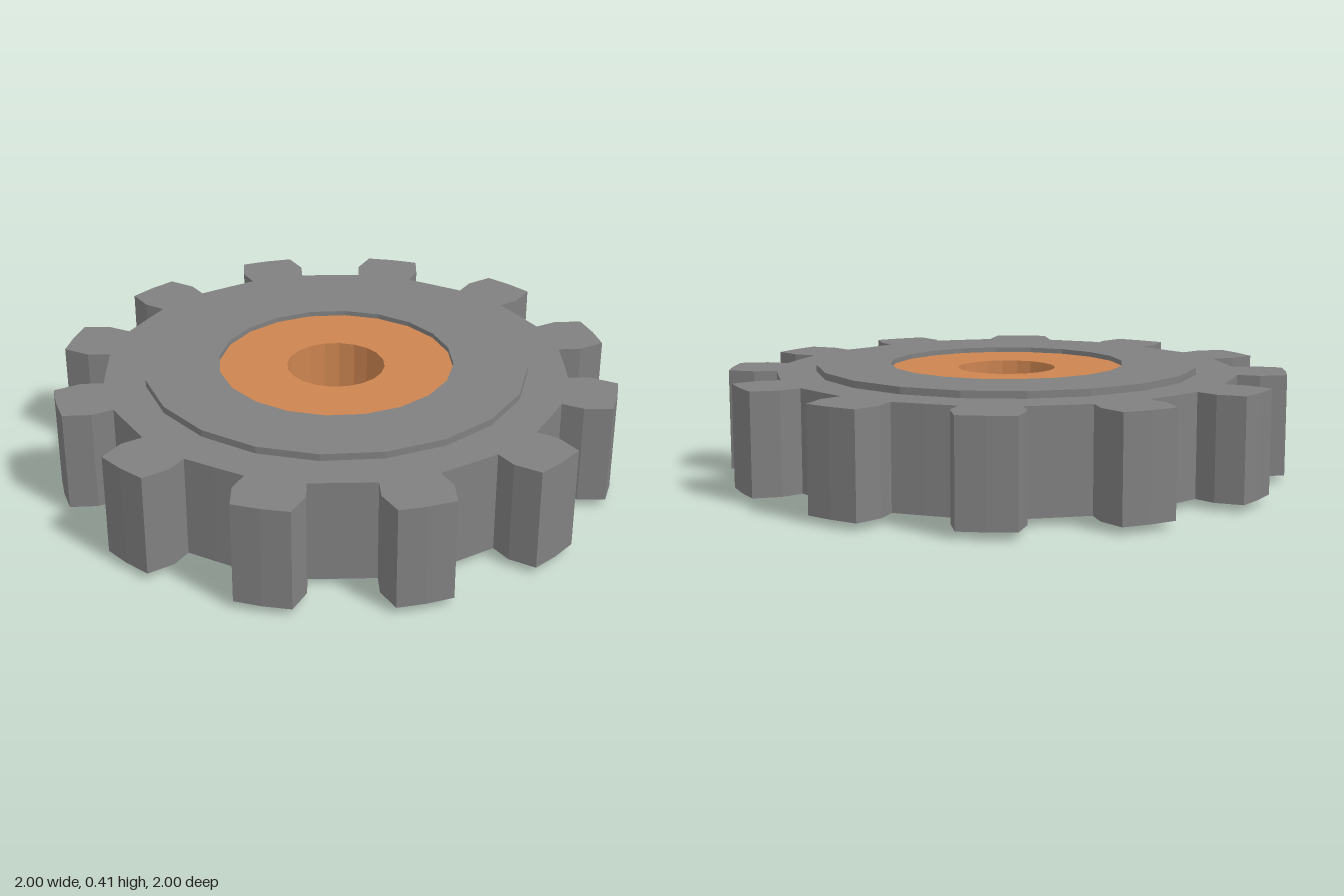
import * as THREE from 'three';

const TEETH = 12;
const SIDES = 20;

const steel = new THREE.MeshStandardMaterial({ color: 0x808080, flatShading: true });
const bronze = new THREE.MeshStandardMaterial({ color: 0xcc8450, flatShading: true });

// Closed ring with a rectangular section, turned about y
function ring(name, inner, outer, y0, y1, material) {
  const profile = [[inner, y0], [outer, y0], [outer, y1], [inner, y1], [inner, y0]]
    .map(([r, y]) => new THREE.Vector2(r, y));
  const mesh = new THREE.Mesh(new THREE.LatheGeometry(profile, SIDES), material);
  mesh.name = name;
  return mesh;
}

// Toothed rim: one tooth outline as [degrees from tooth centre, radius], repeated around
function toothedRim(y0, y1) {
  const tooth = [
    [-15, 0.83], [-7.1, 0.837], [-7.6, 0.918], [-5.6, 1.013],
    [0, 1.014],
    [5.6, 1.013], [7.6, 0.918], [7.1, 0.837],
  ];
  const outline = [];
  for (let i = 0; i < TEETH; i++) {
    for (const [deg, r] of tooth) {
      const a = THREE.MathUtils.degToRad(15 + i * 360 / TEETH + deg);
      outline.push(new THREE.Vector2(r * Math.cos(a), r * Math.sin(a)));
    }
  }
  const shape = new THREE.Shape(outline);

  // Opening hidden inside the hub disc
  const hole = [];
  for (let i = 0; i < SIDES; i++) {
    const a = -i / SIDES * Math.PI * 2;
    hole.push(new THREE.Vector2(0.6 * Math.cos(a), 0.6 * Math.sin(a)));
  }
  shape.holes.push(new THREE.Path(hole));

  const geometry = new THREE.ExtrudeGeometry(shape, { depth: y1 - y0, bevelEnabled: false });
  geometry.rotateX(-Math.PI / 2).translate(0, y0, 0);
  const mesh = new THREE.Mesh(geometry, steel);
  mesh.name = 'toothedRim';
  return mesh;
}

export function createModel() {
  const gear = new THREE.Group();
  gear.name = 'gear';
  gear.add(
    toothedRim(0.025, 0.39),
    // Raised disc standing proud of the rim on both faces
    ring('hubDisc', 0.425, 0.692, 0, 0.415, steel),
    // Bushing slightly recessed in the disc, with the shaft bore
    ring('bushing', 0.177, 0.425, 0.018, 0.397, bronze),
  );
  return gear;
}
